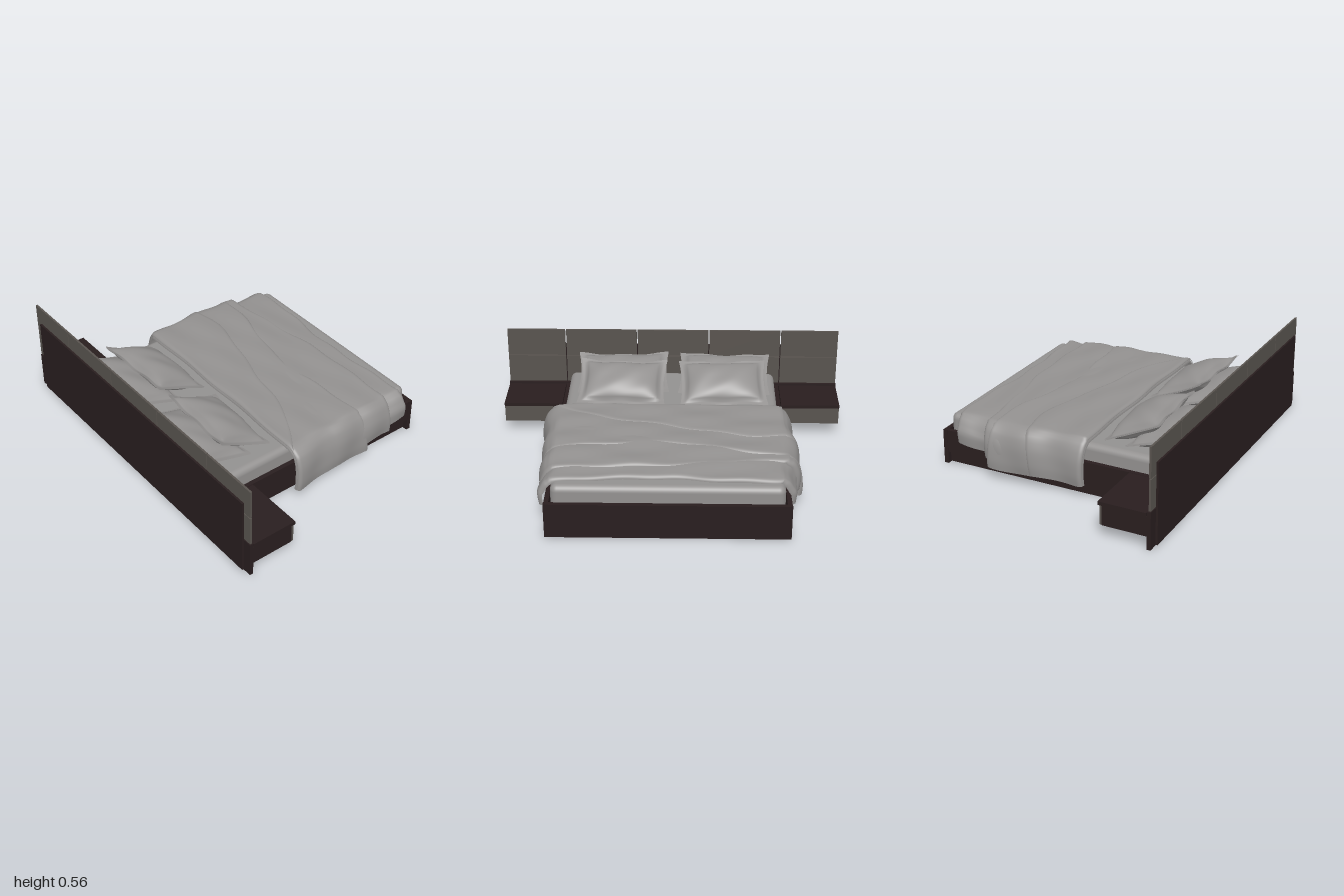
import * as THREE from 'three';
import { RoundedBoxGeometry } from 'three/addons/geometries/RoundedBoxGeometry.js';

export function createModel() {
  const model = new THREE.Group();
  model.name = 'bed';
  const mat = (name, color, side = THREE.FrontSide) => {
    const m = new THREE.MeshStandardMaterial({ color, side });
    m.name = name;
    return m;
  };
  const wood = mat('dark wood', 0x291e1f);
  const panel = mat('grey brown panel', 0x59544f);
  const fabric = mat('grey fabric', 0x939190, THREE.DoubleSide);

  const add = (name, geo, material, parent = model) => {
    const mesh = new THREE.Mesh(geo, material);
    mesh.name = name;
    parent.add(mesh);
    return mesh;
  };
  // Box given by its minimum and maximum on each axis
  const box = (name, material, x0, x1, y0, y1, z0, z1, parent) => {
    const m = add(name, new THREE.BoxGeometry(x1 - x0, y1 - y0, z1 - z0), material, parent);
    m.position.set((x0 + x1) / 2, (y0 + y1) / 2, (z0 + z1) / 2);
    return m;
  };
  // Grid surface shaped by fn(u, v), u and v from 0 to 1
  const sheet = (nu, nv, fn) => {
    const geo = new THREE.PlaneGeometry(1, 1, nu, nv);
    const p = geo.attributes.position;
    for (let i = 0; i < p.count; i++) {
      const [x, y, z] = fn(p.getX(i) + 0.5, 0.5 - p.getY(i));
      p.setXYZ(i, x, y, z);
    }
    geo.computeVertexNormals();
    return geo;
  };
  const lerp = THREE.MathUtils.lerp;

  // Headboard: wooden base and backing, with gapped upholstered panels
  box('headboardBase', wood, -1, 1, 0, 0.208, 0.69, 0.711);
  box('headboardBacking', wood, -0.945, 0.952, 0.005, 0.458, 0.712, 0.723);
  const seams = [-1, -0.652, -0.22, 0.213, 0.645, 1];
  const rows = [[0.213, 0.384], [0.389, 0.557]];
  for (let i = 0; i < 5; i++) {
    for (const [y0, y1] of rows) {
      box('headboardPanel', panel, seams[i] + 0.003, seams[i + 1] - 0.003, y0, y1, 0.698, 0.709);
    }
  }

  // Bed frame
  box('footboard', wood, -0.65, 0.65, 0, 0.2, -0.723, -0.698);
  box('headRail', wood, -0.6, 0.6, 0, 0.1, 0.665, 0.69);
  box('footRail', wood, -0.6, 0.6, 0.005, 0.1, -0.698, -0.67);
  for (const s of [-1, 1]) {
    const side = (a, b) => [Math.min(s * a, s * b), Math.max(s * a, s * b)];
    box('sideRail', wood, ...side(0.623, 0.648), 0.07, 0.2, -0.698, 0.69);
    box('sidePlinth', wood, ...side(0.595, 0.623), 0.003, 0.11, -0.698, 0.69);

    // Wall-hung nightstand with a drawer front set below the top
    const stand = new THREE.Group();
    stand.name = 'nightstand';
    model.add(stand);
    box('nightstandTop', wood, ...side(0.652, 0.998), 0.18, 0.2, 0.42, 0.684, stand);
    box('nightstandOuterSide', wood, ...side(0.983, 0.998), 0.072, 0.18, 0.443, 0.69, stand);
    box('nightstandInnerSide', wood, ...side(0.652, 0.667), 0.072, 0.18, 0.443, 0.69, stand);
    box('drawerFront', panel, ...side(0.653, 0.998), 0.075, 0.179, 0.431, 0.442, stand);
    box('drawerBottom', panel, ...side(0.667, 0.983), 0.09, 0.1, 0.443, 0.69, stand);
  }

  // Mattress cover: a rounded shell left open underneath
  const cover = new RoundedBoxGeometry(1.23, 0.188, 1.38, 5, 0.036);
  const sixth = cover.attributes.position.count / 6;
  cover.setIndex([...Array(sixth * 6).keys()].filter((i) => Math.floor(i / sixth) !== 3));
  cover.clearGroups();
  add('mattress', cover, fabric).position.set(0, 0.196, -0.004);

  // Blanket layer: a draped cross-section swept along z with rolled edges
  const blanket = (name, half, hem, top, back, front, phase, thick = 0.025) => {
    const side = [[half, hem], [half + 0.004, hem + 0.06], [half - 0.008, 0.235],
      [half - 0.05, top - 0.026], [half - 0.15, top - 0.004]];
    const pts = [...side.map(([x, y]) => new THREE.Vector2(-x, y)), new THREE.Vector2(0, top),
      ...side.reverse().map(([x, y]) => new THREE.Vector2(x, y))];
    const curve = new THREE.SplineCurve(pts);
    const rims = new THREE.SplineCurve(back.map((z, i) => new THREE.Vector2(i, z)));
    add(name, sheet(100, 60, (u, v) => {
      const p = curve.getPointAt(u), t = curve.getTangentAt(u);
      const drop = Math.min(1, Math.abs(t.y) * 1.2);
      const z1 = front + 0.012 * (u - 0.5) + 0.004 * Math.sin(u * 23 + phase);
      const rim = rims.getPoint(u).y + (1 - drop) * 0.006 * Math.sin(u * 31 + phase);
      const z0 = Math.min(rim, z1 - 0.002);
      const z = lerp(z0, z1, 0.5 - 0.5 * Math.cos(Math.PI * v));
      const edge = Math.min(Math.min(z - z0, z1 - z) / 0.025, 1);
      const roll = Math.sqrt(Math.max(0, 1 - (1 - edge) ** 2));
      // Broad diagonal folds across the top, loose vertical folds down the sides
      const folds = (1 - drop) * (0.003 * Math.sin(z * 24 - p.x * 5 + 2 * Math.sin(p.x * 3 + phase))
        + 0.002 * Math.sin(z * 31 + p.x * 9 + phase))
        + drop * 0.006 * Math.sin(z * 22 + phase + p.y * 9);
      const off = folds * roll - thick * (1 - roll);
      const flare = drop * (p.x > 0 ? 0.026 * Math.max(0, z + 0.1) / 0.27
        : 0.016 * Math.sin((z + 0.1) * 8));
      const hemWave = drop * 0.005 * Math.sin(z * 17 + phase);
      return [p.x - t.y * off + flare, p.y + t.x * off + hemWave, z];
    }), fabric);
  };
  blanket('lowerBlanket', 0.68, 0.148, 0.316, [-0.625, -0.64, -0.61, -0.625, -0.655], -0.2, 0);
  blanket('middleBlanket', 0.695, 0.112, 0.326, [-0.43, -0.46, -0.51, -0.525, -0.53], -0.02, 1.7, 0.02);
  blanket('upperBlanket', 0.705, 0.074, 0.332, [-0.41, -0.38, -0.285, -0.31, -0.355], 0.172, 3.1);
  blanket('blanketFold', 0.709, 0.08, 0.338, [-0.15, -0.2, -0.09, 0.03, 0.32], 0.17, 3.1, 0.014);

  // Pillow: two puffed faces with a flat flange and drawn-out corners
  const pillow = (name, w, d, h, x, y, z, tilt, turn) => {
    const group = new THREE.Group();
    group.name = name;
    group.position.set(x, y, z);
    group.rotation.set(tilt, turn, 0, 'YXZ');
    model.add(group);
    for (const s of [1, -1]) {
      add('pillowFace', sheet(40, 34, (u, v) => {
        const a = (u * 2 - 1) * s, b = v * 2 - 1;
        const ia = Math.min(1, Math.abs(a) / 0.9), ib = Math.min(1, Math.abs(b) / 0.88);
        const puff = ((1 - ia ** 2.6) * (1 - ib ** 2.4)) ** 0.55;
        const crease = 0.003 * puff * Math.sin(a * 7 + b * 5 + x * 8);
        const ripple = 0.005 * Math.sin(a * 7 + x * 5) * b * b + 0.01 * a * a * b * b;
        return [a * w / 2 * (1 - 0.06 * (1 - b * b)),
          s * (0.003 + h / 2 * puff + crease) + ripple,
          b * d / 2 * (1 - 0.06 * (1 - a * a))];
      }), fabric, group);
    }
  };
  for (const s of [-1, 1]) {
    pillow('backPillow', 0.54, 0.345, 0.13, s * 0.3 - 0.012, 0.349, 0.53, -0.31, s * 0.03);
    pillow('frontPillow', 0.51, 0.335, 0.14, s * 0.294 - 0.008, 0.367, 0.372, -0.42, s * -0.04);
  }
  return model;
}
